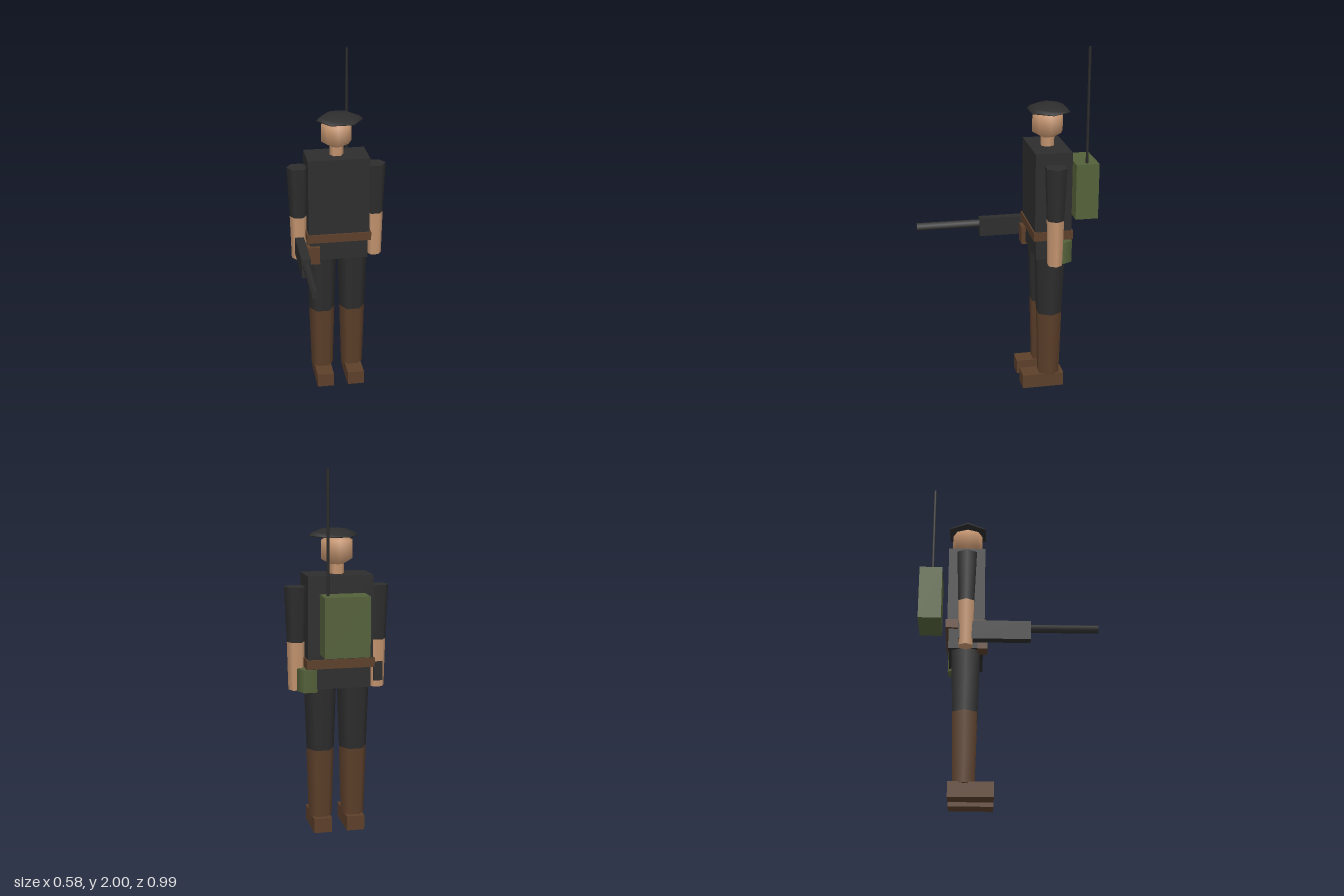
import * as THREE from 'three';

const flat = (name, color) => {
  const m = new THREE.MeshStandardMaterial({ color });
  m.name = name;
  return m;
};

export function createModel() {
  const group = new THREE.Group();
  const black = flat('charcoal cloth', 0x2d2d2d);
  const skin = flat('skin', 0xc4946f);
  const brown = flat('brown leather', 0x5c3f2a);
  const green = flat('olive green', 0x54613a);
  const Z = -0.226; // depth of the body's centre line

  const add = (name, geometry, material, x = 0, y = 0, z = Z) => {
    const mesh = new THREE.Mesh(geometry, material);
    mesh.name = name;
    mesh.position.set(x, y, z);
    group.add(mesh);
    return mesh;
  };
  // box given by its lower and upper limits
  const box = (name, material, [x0, x1], [y0, y1], [z0, z1]) =>
    add(name, new THREE.BoxGeometry(x1 - x0, y1 - y0, z1 - z0), material,
      (x0 + x1) / 2, (y0 + y1) / 2, (z0 + z1) / 2);
  // upright tapered six-sided limb with corners on the x axis
  const limb = (name, material, x, y0, y1, r0, r1, z = Z) => {
    const g = new THREE.CylinderGeometry(r1, r0, y1 - y0, 6);
    g.rotateY(Math.PI / 2);
    return add(name, g, material, x, (y0 + y1) / 2, z);
  };

  // trunk
  box('torso', black, [-0.178, 0.178], [0.95, 1.44], [-0.329, -0.123]);
  box('pelvis', black, [-0.168, 0.168], [0.825, 0.96], [-0.321, -0.131]);
  box('belt', brown, [-0.187, 0.187], [0.94, 0.99], [-0.338, -0.115]);

  // limbs, mirrored
  for (const [side, s] of [['left', 1], ['right', -1]]) {
    limb(side + 'Sleeve', black, s * 0.225, 1.075, 1.375, 0.05, 0.063);
    limb(side + 'Forearm', skin, s * 0.225, 0.81, 1.075, 0.043, 0.05);
    limb(side + 'Thigh', black, s * 0.092, 0.47, 0.89, 0.077, 0.092);
    limb(side + 'Boot', brown, s * 0.092, 0.075, 0.47, 0.066, 0.077);
    const x = s * 0.093;
    box(side + 'Shoe', brown, [x - 0.05, x + 0.05], [0, 0.083], [-0.309, -0.067]);
  }

  // head and cap
  limb('neck', skin, 0, 1.42, 1.5, 0.04, 0.04);
  add('head', new THREE.SphereGeometry(0.1, 8, 3), skin, 0, 1.57);
  const profile = [[0, 1.64], [0.133, 1.64], [0.133, 1.645], [0.115, 1.662], [0.067, 1.68], [0, 1.685]]
    .map(([r, y]) => new THREE.Vector2(r, y));
  const beret = new THREE.LatheGeometry(profile, 6);
  beret.rotateY(Math.PI / 2);
  add('beret', beret, black, 0.019, 0).scale.z = 0.92;

  // field pack with aerial
  box('backpack', green, [-0.122, 0.122], [1.03, 1.35], [-0.497, -0.367]);
  add('aerial', new THREE.CylinderGeometry(0.008, 0.008, 0.65, 4), black, 0.093, 1.675, -0.432);

  // belt equipment
  box('pouch', brown, [-0.2, -0.115], [0.81, 0.915], [-0.162, -0.107]);
  limb('canteen', green, 0.165, 0.81, 0.935, 0.063, 0.063, -0.275);

  // carried long tool, pointing forward from the right hand
  box('gunBody', black, [-0.251, -0.199], [0.845, 0.953], [-0.267, 0.127]);
  const barrel = new THREE.CylinderGeometry(0.024, 0.024, 0.38, 6);
  barrel.rotateX(Math.PI / 2);
  add('gunBarrel', barrel, black, -0.223, 0.919, 0.305);

  return group;
}
